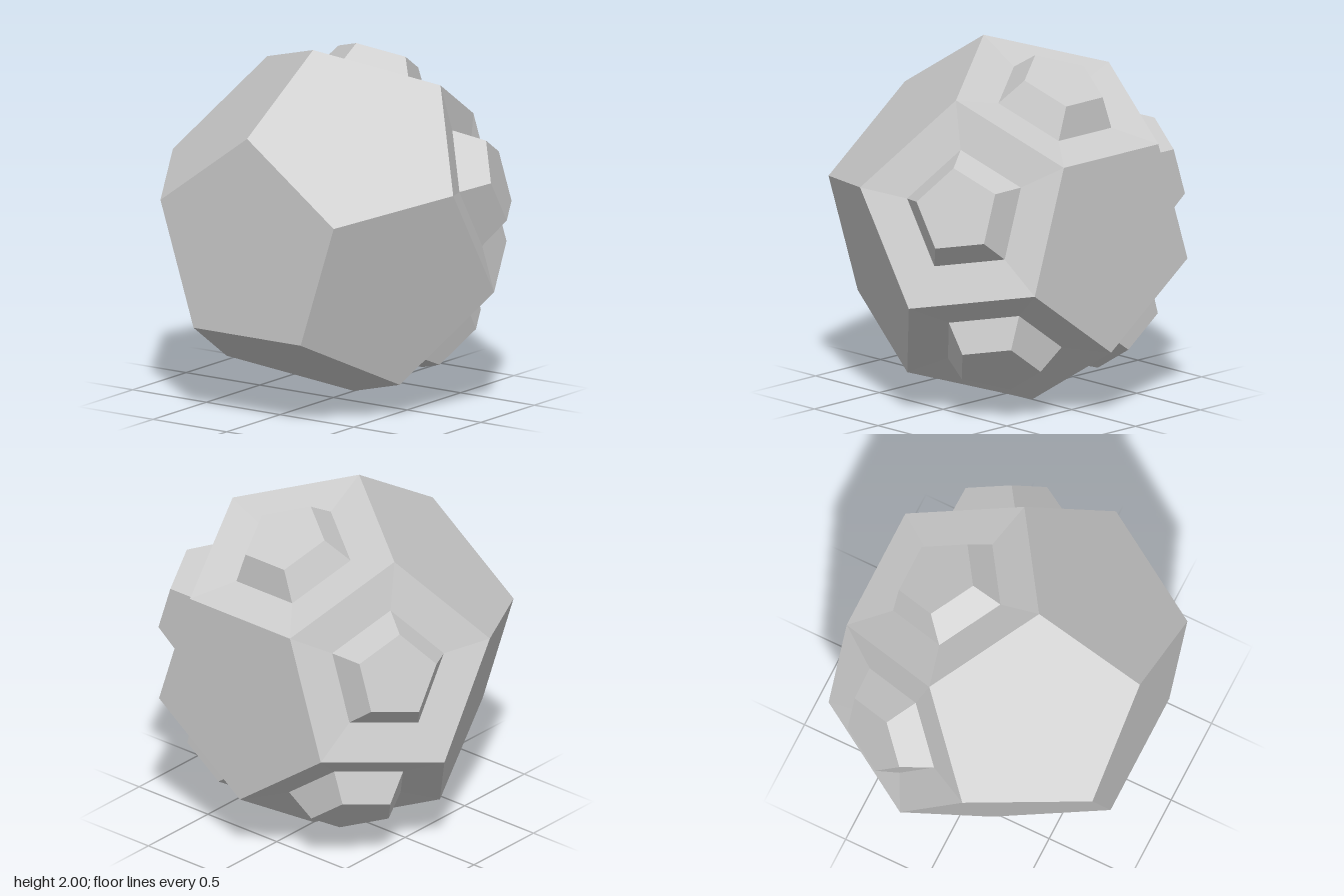
import * as THREE from 'three';

const STEP = Math.PI * 2 / 5;
const CAP = { r: 0.618, x: 0.809 };   // corners of the two end pentagons
const BELT = { r: 1, x: 0.191 };      // zigzag corners round the middle
const BASE = { scale: 0.558, lift: -0.016 }; // sunken foot of each stud
const TOP = { scale: 0.386, lift: 0.146 };   // raised stud top

const corner = (ring, k, side = 1) => new THREE.Vector3(
  ring.x * side, ring.r * Math.cos(k * STEP), ring.r * Math.sin(k * STEP));

// Shrinks a face outline about its centre and moves it along the face normal
function inset(loop, { scale, lift }) {
  const centre = loop.reduce((s, p) => s.add(p), new THREE.Vector3()).divideScalar(loop.length);
  const normal = centre.clone().normalize();
  return loop.map(p => p.clone().sub(centre).multiplyScalar(scale).add(centre).addScaledVector(normal, lift));
}

// Flat pentagon as a triangle fan
function fan(out, loop) {
  for (let i = 1; i < loop.length - 1; i++) out.push(loop[0], loop[i], loop[i + 1]);
}

// Band of quads between an outer and an inner outline
function band(out, outer, inner) {
  outer.forEach((p, i) => {
    const j = (i + 1) % outer.length;
    out.push(p, outer[j], inner[j], p, inner[j], inner[i]);
  });
}

function makeMesh(name, points) {
  const geometry = new THREE.BufferGeometry().setFromPoints(points);
  geometry.computeVertexNormals();
  const mesh = new THREE.Mesh(geometry,
    new THREE.MeshStandardMaterial({ color: 0xcccccc, flatShading: true }));
  mesh.name = name;
  return mesh;
}

export function createModel() {
  const group = new THREE.Group();
  group.name = 'studdedDodecahedron';
  const shell = [];
  const opposite = loop => loop.map(p => p.clone().negate()).reverse();

  // End faces
  const end = [0, 1, 2, 3, 4].map(k => corner(CAP, k + 0.5));
  fan(shell, end);
  fan(shell, opposite(end));

  // Ten side faces: five with studs, five plain ones opposite them
  for (let k = 0; k < 5; k++) {
    const face = [
      corner(CAP, k + 0.5), corner(CAP, k - 0.5), corner(BELT, k - 0.5),
      corner(BELT, k, -1), corner(BELT, k + 0.5),
    ];
    fan(shell, opposite(face));

    // Slightly dished rim leading to the foot of the stud
    const foot = inset(face, BASE);
    const top = inset(face, TOP);
    band(shell, face, foot);

    // Tapered pentagonal stud
    const stud = [];
    band(stud, foot, top);
    fan(stud, top);
    group.add(makeMesh('stud' + (k + 1), stud));
  }
  group.add(makeMesh('body', shell));

  // Stand the body on the ground
  group.children.forEach(mesh => { mesh.position.y = 1; });
  return group;
}
